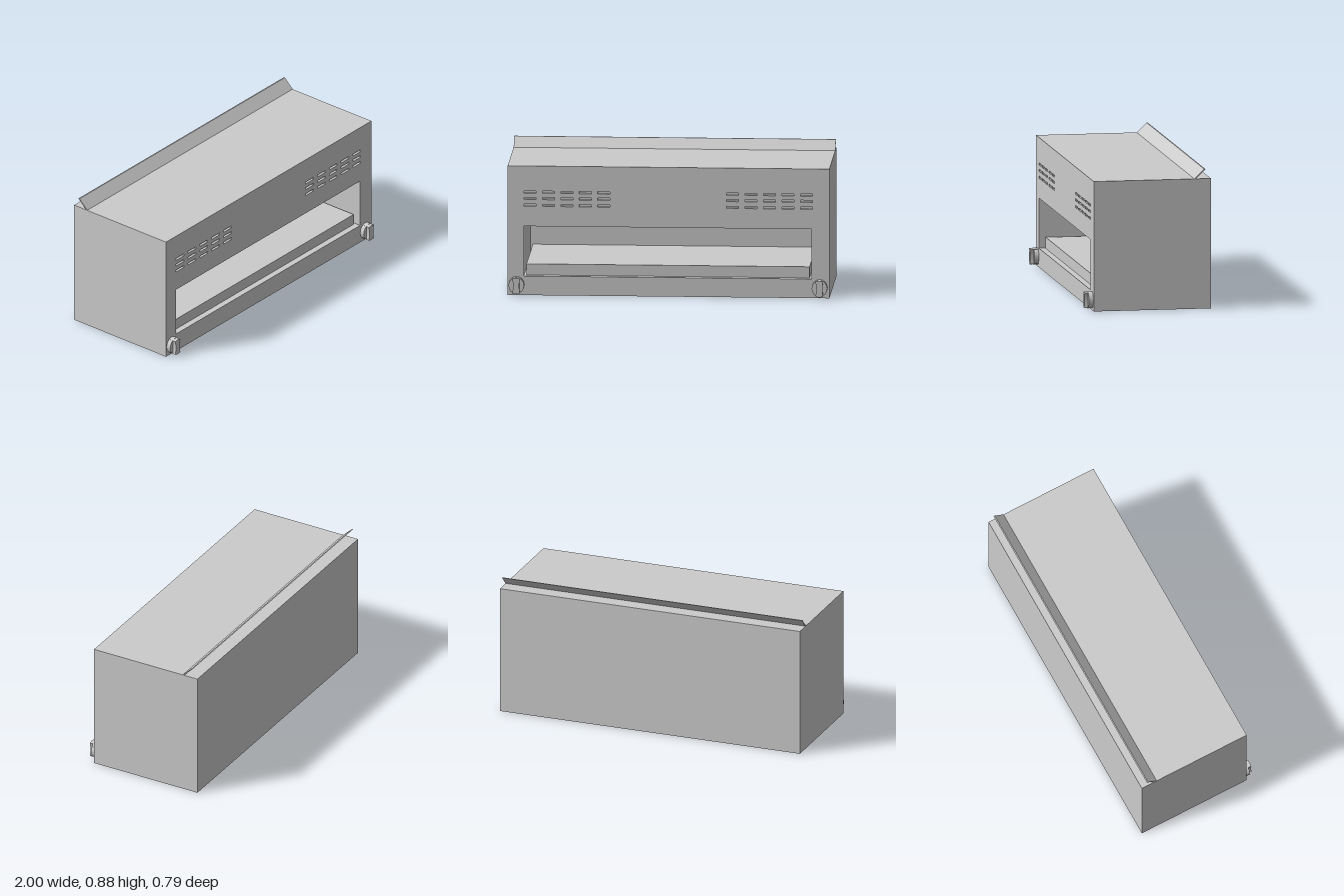
import * as THREE from 'three';

const material = new THREE.MeshStandardMaterial({ color: 0xcccccc });
const FRONT = 0.345, BACK = -0.395, TOP = 0.815;

function add(parent, name, geometry, x = 0, y = 0, z = 0) {
  const mesh = new THREE.Mesh(geometry, material);
  mesh.name = name;
  mesh.position.set(x, y, z);
  parent.add(mesh);
  return mesh;
}

function rect(Type, x0, y0, x1, y1) {
  return new Type([[x0, y0], [x1, y0], [x1, y1], [x0, y1]].map(p => new THREE.Vector2(...p)));
}

const extrude = (shape, depth) =>
  new THREE.ExtrudeGeometry(shape, { depth, bevelEnabled: false, curveSegments: 8 });

const opening = () => rect(THREE.Path, -0.9, 0.12, 0.89, 0.435);

function makeKnob(name, x) {
  const knob = new THREE.Group();
  knob.name = name;
  knob.position.set(x, 0.065, FRONT);

  // round base against the panel
  const base = new THREE.CylinderGeometry(0.053, 0.053, 0.028, 16);
  base.rotateX(Math.PI / 2).scale(0.92, 1, 1);
  add(knob, 'knobBase', base, 0, 0, 0.014);

  // upright grip with a pinched waist
  const s = new THREE.Shape();
  s.moveTo(-0.024, -0.046);
  s.quadraticCurveTo(0, -0.056, 0.024, -0.046);
  s.quadraticCurveTo(0.014, 0, 0.024, 0.046);
  s.quadraticCurveTo(0, 0.056, -0.024, 0.046);
  s.quadraticCurveTo(-0.014, 0, -0.024, -0.046);
  add(knob, 'knobGrip', extrude(s, 0.05));
  return knob;
}

export function createModel() {
  const model = new THREE.Group();
  model.name = 'countertopGrill';

  // front panel with the cooking opening and two banks of vent slots
  const panel = rect(THREE.Shape, -1, 0, 1, TOP);
  panel.holes.push(opening());
  for (const start of [-0.9, 0.36]) {
    for (let col = 0; col < 5; col++) {
      for (const y of [0.567, 0.61, 0.65]) {
        const x = start + col * 0.115;
        panel.holes.push(rect(THREE.Path, x, y - 0.007, x + 0.076, y + 0.007));
      }
    }
  }
  add(model, 'frontPanel', extrude(panel, 0.02), 0, 0, FRONT - 0.02);

  // housing around the cavity, closed by the back panel
  const housing = rect(THREE.Shape, -1, 0, 1, TOP);
  housing.holes.push(opening());
  add(model, 'housing', extrude(housing, 0.70), 0, 0, BACK + 0.02);
  add(model, 'backPanel', new THREE.BoxGeometry(2, TOP, 0.02), 0, TOP / 2, BACK + 0.01);

  // slab tray inside the cavity
  add(model, 'tray', new THREE.BoxGeometry(1.76, 0.07, 0.675), -0.005, 0.155, -0.0325);

  // slanted guard along the rear of the top
  const guard = new THREE.Shape([[0.29, TOP], [0.298, TOP], [0.36, 0.875], [0.352, 0.875]]
    .map(p => new THREE.Vector2(...p)));
  const guardGeometry = extrude(guard, 2);
  guardGeometry.rotateY(Math.PI / 2);
  add(model, 'rearGuard', guardGeometry, -1, 0, 0);

  model.add(makeKnob('leftKnob', 0.94), makeKnob('rightKnob', -0.945));
  return model;
}
